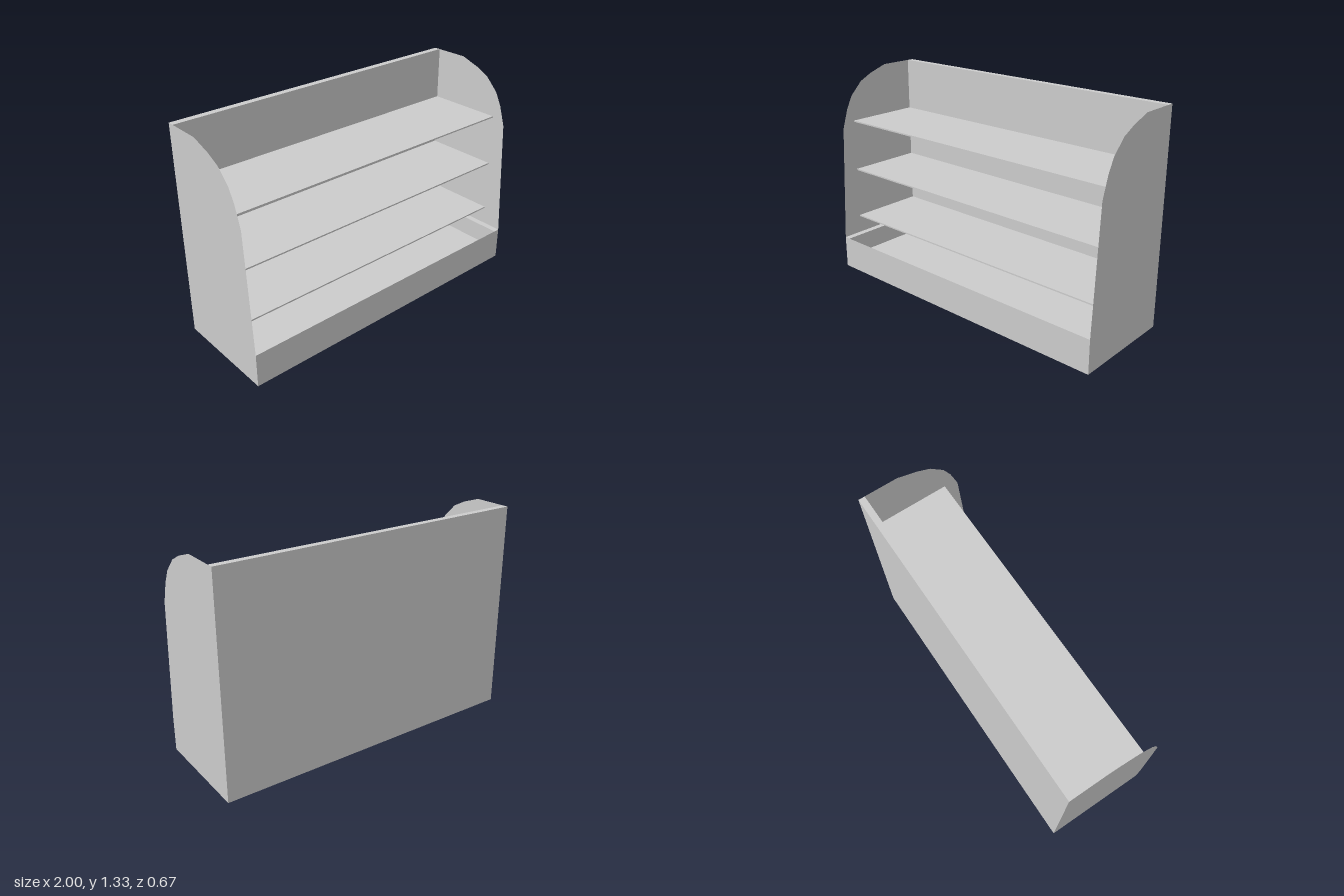
import * as THREE from 'three';

const WIDTH = 2, HEIGHT = 1.333, FRONT = 0.333, BACK = -0.333;
const BOARD = 0.04, FLOOR = 0.083, RIM = 0.21;
const INNER_BACK = BACK + BOARD;

const solid = new THREE.MeshStandardMaterial({ color: 0xcccccc });
const thin = new THREE.MeshStandardMaterial({ color: 0xcccccc, side: THREE.DoubleSide });

// Side-view outline from [z, y] pairs
const outline = (points) => new THREE.Shape(points.map(([z, y]) => new THREE.Vector2(z, y)));

export function createModel() {
  const group = new THREE.Group();

  const add = (name, geometry, material = solid) => {
    const mesh = new THREE.Mesh(geometry, material);
    mesh.name = name;
    group.add(mesh);
    return mesh;
  };

  // Box given by its extents on each axis
  const box = (name, x0, x1, y0, y1, z0, z1) => {
    const geometry = new THREE.BoxGeometry(x1 - x0, y1 - y0, z1 - z0);
    add(name, geometry.translate((x0 + x1) / 2, (y0 + y1) / 2, (z0 + z1) / 2));
  };

  // Thick back board
  box('backPanel', -1, 1, 0, HEIGHT, BACK, INNER_BACK);

  // Open-topped tray at the foot: floor, two thick cheeks and a thin front
  box('baseFloor', -1, 1, 0, FLOOR, INNER_BACK, FRONT);
  box('baseCheekLeft', 1 - BOARD, 1, FLOOR, RIM, INNER_BACK, FRONT);
  box('baseCheekRight', -1, -1 + BOARD, FLOOR, RIM, INNER_BACK, FRONT);
  const front = new THREE.PlaneGeometry(WIDTH - 2 * BOARD, RIM - FLOOR);
  add('baseFront', front.translate(0, (RIM + FLOOR) / 2, FRONT), thin);

  // Sheet-thin sides with a rounded upper front
  const sideShape = outline([
    [INNER_BACK, RIM], [FRONT, RIM], [0.29, 0.96], [0.25, 1.085], [0.208, 1.167],
    [0.125, 1.25], [0.04, 1.292], [-0.083, HEIGHT], [INNER_BACK, HEIGHT],
  ]);
  for (const [name, x] of [['sidePanelLeft', 1], ['sidePanelRight', -1]]) {
    const side = new THREE.ShapeGeometry(sideShape).rotateY(-Math.PI / 2);
    add(name, side.translate(x, 0, 0), thin);
  }

  // Three shelves, tapering from the back to a narrow front edge
  const shelfWidth = WIDTH - 0.002;
  const shelfShape = outline([
    [INNER_BACK, -BOARD], [0.2, -0.009], [0.2, 0], [INNER_BACK, 0],
  ]);
  for (let i = 1; i <= 3; i++) {
    const shelf = new THREE.ExtrudeGeometry(shelfShape, { depth: shelfWidth, bevelEnabled: false });
    shelf.rotateY(-Math.PI / 2).translate(shelfWidth / 2, i / 3, 0);
    add(`shelf${i}`, shelf);
  }

  return group;
}
